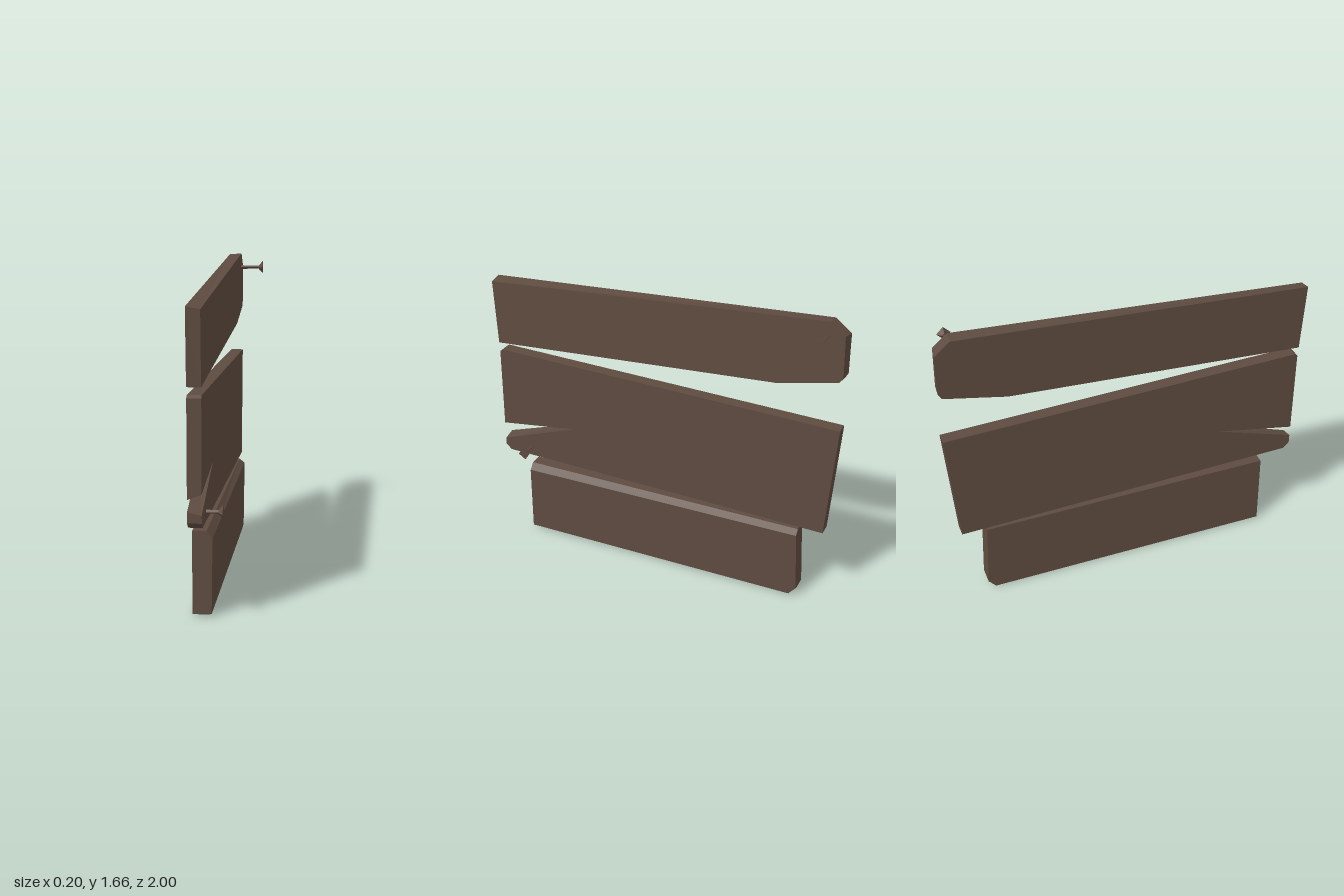
import * as THREE from 'three';

// Lofts a plank through outlines stacked along x, from back to front.
// Each outline lists [x, y, z] corners counter-clockwise as seen from +x.
function loftPlank(layers) {
  const pos = [];
  const tri = (a, b, c) => pos.push(...a, ...b, ...c);
  const n = layers[0].length;
  for (let k = 0; k + 1 < layers.length; k++) {
    const a = layers[k], b = layers[k + 1];
    for (let i = 0; i < n; i++) {
      const j = (i + 1) % n;
      tri(a[i], a[j], b[j]);
      tri(a[i], b[j], b[i]);
    }
  }
  // End caps
  const cap = (layer, front) => {
    const flat = layer.map(([, y, z]) => new THREE.Vector2(-z, y));
    for (const [i, j, k] of THREE.ShapeUtils.triangulateShape(flat, [])) {
      const ccw = THREE.ShapeUtils.area([flat[i], flat[j], flat[k]]) > 0;
      if (ccw === front) tri(layer[i], layer[j], layer[k]);
      else tri(layer[i], layer[k], layer[j]);
    }
  };
  cap(layers[0], false);
  cap(layers[layers.length - 1], true);
  const geo = new THREE.BufferGeometry();
  geo.setAttribute('position', new THREE.Float32BufferAttribute(pos, 3));
  geo.computeVertexNormals();
  return geo;
}

// Places a [z, y] outline at a given x
const at = (x, outline) => outline.map(([z, y]) => [x, y, z]);

export function createModel() {
  const group = new THREE.Group();
  const wood = new THREE.MeshStandardMaterial({ color: 0x5e4b40 });
  wood.name = 'weatheredBrown';
  wood.flatShading = true;

  const add = (name, geo, parent = group) => {
    const mesh = new THREE.Mesh(geo, wood);
    mesh.name = name;
    parent.add(mesh);
    return mesh;
  };

  const BACK = -0.1, FRONT = -0.03;

  // Top plank, tilted, with trimmed corners at the back end
  add('topPlank', loftPlank([
    at(BACK, [[0.98, 1.17], [-0.65, 1.265], [-0.98, 1.335], [-1, 1.365],
      [-1, 1.585], [-0.915, 1.655], [1, 1.545]]),
    at(FRONT, [[0.98, 1.17], [-0.65, 1.27], [-0.975, 1.34], [-0.995, 1.37],
      [-0.99, 1.595], [-0.91, 1.66], [1, 1.533]]),
  ]));

  // Middle plank, split by a wedge-shaped crack
  const middle = (upper, lower) => [[0.945, 0.49], [-0.95, 0.437], [-1, 1.07],
    [0.96, 1.13], [0.977, 1.117], [0.977, upper], [0.53, 0.72], [0.977, lower], [0.977, 0.52]];
  add('middlePlank', loftPlank([
    at(BACK, middle(0.633, 0.573)),
    at(FRONT, middle(0.66, 0.558)),
  ]));

  // Bottom plank, thicker, with a bevelled upper edge
  const bottom = [[0.81, 0.012], [-0.79, 0.003], [-0.83, 0.05], [-0.813, 0.425], [0.806, 0.435]];
  const bottomFace = [[-0.005, 0.015, 0.81], [-0.005, 0.008, -0.79], [-0.005, 0.055, -0.83],
    [0, 0.4, -0.815], [0, 0.4, 0.807]];
  add('bottomPlank', loftPlank([at(BACK, bottom), at(FRONT, bottom), bottomFace]));

  // Four-sided nails sticking out along +x, with flared heads
  const addNail = (name, tip, y, z, spin) => {
    const nail = new THREE.Group();
    nail.name = name;
    nail.position.set(0, y, z);
    nail.rotation.x = spin;
    const start = -0.045, neck = tip - 0.022;
    const part = (label, rEnd, rStart, from, to) => {
      const geo = new THREE.CylinderGeometry(rEnd, rStart, to - from, 4);
      geo.rotateZ(-Math.PI / 2);
      geo.translate((from + to) / 2, 0, 0);
      add(label, geo, nail);
    };
    part('nailShaft', 0.009, 0.011, start, neck);
    part('nailHead', 0.036, 0.012, neck, tip);
    group.add(nail);
  };
  addNail('topNail', 0.098, 1.58, -0.902, 0);
  addNail('lowerNail', 0.053, 0.535, 0.812, 0.2);

  return group;
}
